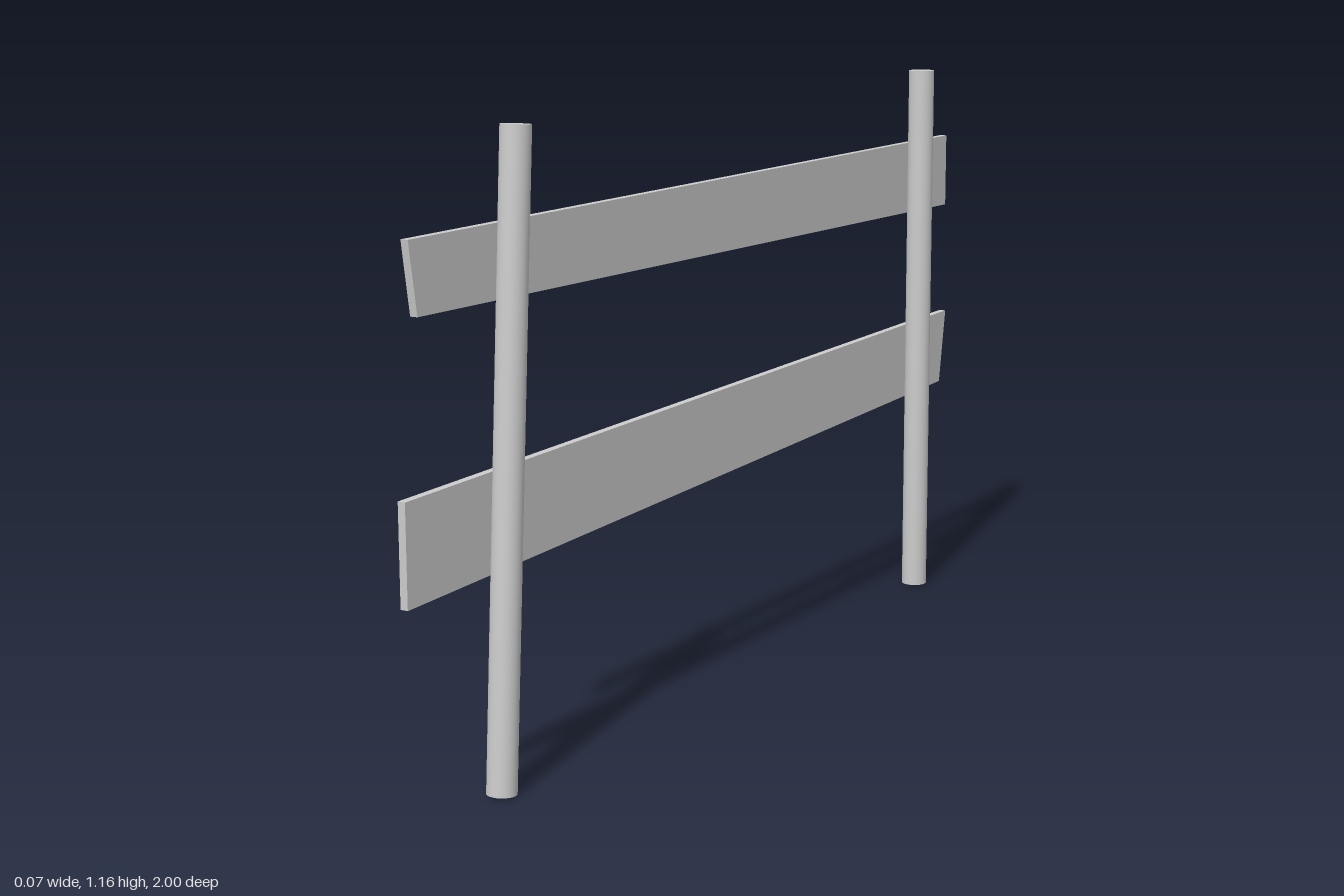
import * as THREE from 'three';

const material = new THREE.MeshStandardMaterial({ color: 0xcccccc });

// Round post from its foot to its top, both given as (z, y)
function makePost(name, foot, top) {
  const dz = top[0] - foot[0], dy = top[1] - foot[1];
  const post = new THREE.Mesh(new THREE.CylinderGeometry(0.0275, 0.0275, Math.hypot(dz, dy), 32), material);
  post.name = name;
  post.position.set(0.0055, (foot[1] + top[1]) / 2, (foot[0] + top[0]) / 2);
  post.rotation.x = Math.atan2(dz, dy);
  return post;
}

// Flat board with an uneven outline of (z, y) corners, extruded towards -x
function makeBoard(name, corners) {
  const shape = new THREE.Shape(corners.map(([z, y]) => new THREE.Vector2(z, y)));
  const geometry = new THREE.ExtrudeGeometry(shape, { depth: 0.015, bevelEnabled: false });
  geometry.rotateY(-Math.PI / 2);
  geometry.translate(-0.022, 0, 0);
  const board = new THREE.Mesh(geometry, material);
  board.name = name;
  return board;
}

export function createModel() {
  const fence = new THREE.Group();
  fence.name = 'fence';
  fence.add(
    makePost('backPost', [-0.804, 0], [-0.804, 1.165]),
    makePost('leaningFrontPost', [0.788, 0.002], [0.713, 1.163]),
    makeBoard('upperBoard', [[0.975, 0.995], [0.955, 0.866], [-0.99, 0.848], [-0.99, 1.006]]),
    makeBoard('lowerBoard', [[1, 0.566], [1, 0.382], [-0.973, 0.438], [-1, 0.6]]),
  );
  return fence;
}
